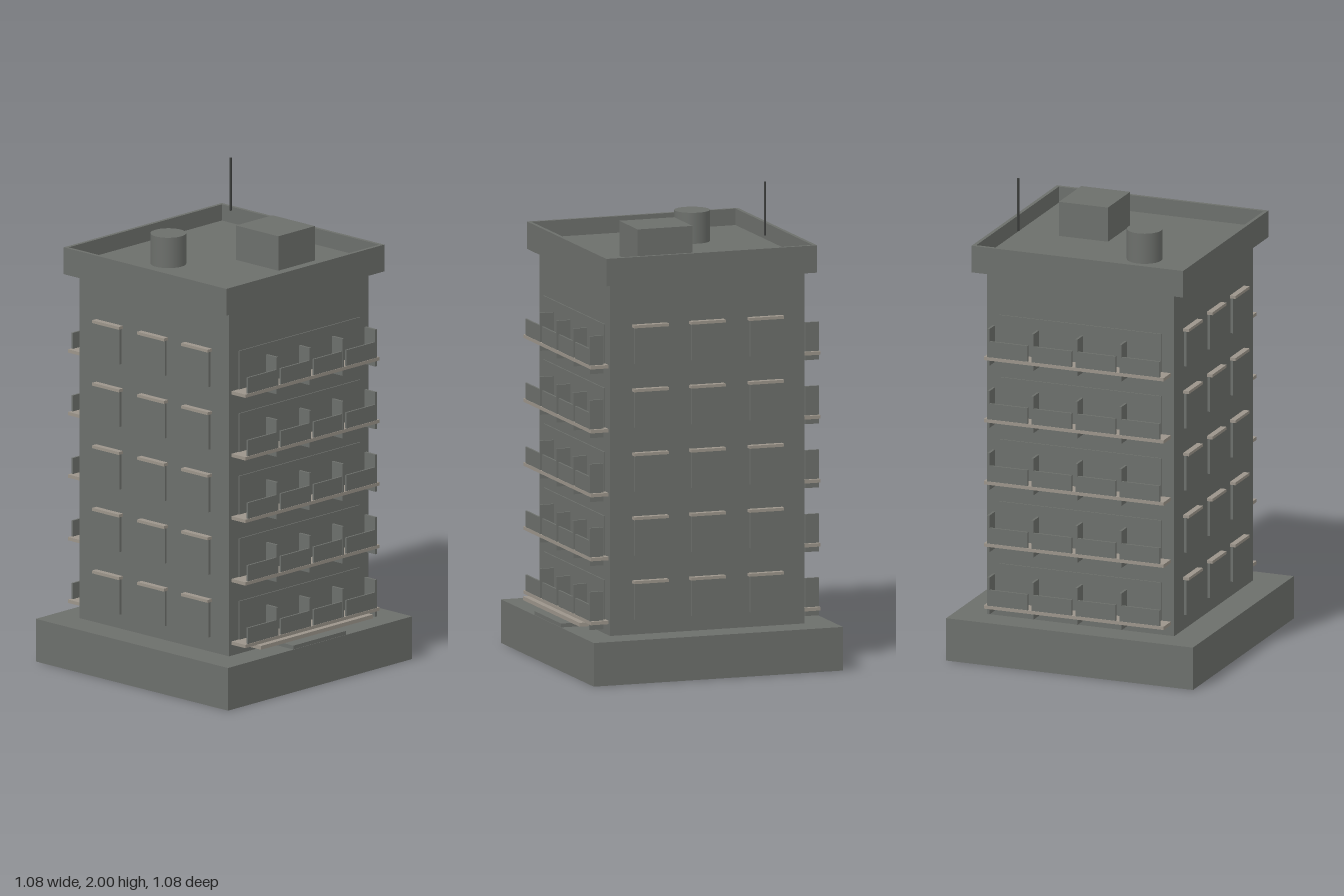
import * as THREE from 'three';

export function createModel() {
  const model = new THREE.Group();
  model.name = 'apartmentBlock';

  const concrete = new THREE.MeshStandardMaterial({ color: 0x6c6f6b });
  concrete.name = 'concrete grey';
  const stone = new THREE.MeshStandardMaterial({ color: 0x9b948a });
  stone.name = 'pale stone';
  const metal = new THREE.MeshStandardMaterial({ color: 0x3c3e3c });
  metal.name = 'dark metal';

  // Box given by its min and max on each axis
  function box(name, mat, [x0, x1], [y0, y1], [z0, z1], parent = model) {
    const mesh = new THREE.Mesh(new THREE.BoxGeometry(x1 - x0, y1 - y0, z1 - z0), mat);
    mesh.position.set((x0 + x1) / 2, (y0 + y1) / 2, (z0 + z1) / 2);
    mesh.name = name;
    parent.add(mesh);
    return mesh;
  }

  function cylinder(name, mat, r, x, y0, y1, z, sides) {
    const mesh = new THREE.Mesh(new THREE.CylinderGeometry(r, r, y1 - y0, sides), mat);
    mesh.position.set(x, (y0 + y1) / 2, z);
    mesh.name = name;
    model.add(mesh);
  }

  // Plinth and tower
  box('plinth', concrete, [-0.542, 0.542], [0, 0.18], [-0.54, 0.54]);
  box('tower', concrete, [-0.411, 0.411], [0.18, 1.64], [-0.421, 0.421]);

  // Roof slab with a parapet around it
  const rx = 0.465, rz = 0.457, t = 0.015, roofY = 1.68, topY = 1.748;
  box('roofSlab', concrete, [-rx, rx], [1.635, roofY], [-rz, rz]);
  for (const s of [-1, 1]) {
    const xs = [s * rx, s * (rx - t)].sort((a, b) => a - b);
    const zs = [s * rz, s * (rz - t)].sort((a, b) => a - b);
    box('parapetSide', concrete, xs, [roofY, topY], [-rz, rz]);
    box('parapetEnd', concrete, [-rx + t, rx - t], [roofY, topY], zs);
  }

  // Rooftop equipment
  box('liftHouse', concrete, [0.058, 0.273], [roofY, 1.825], [0.012, 0.25]);
  cylinder('waterTank', concrete, 0.073, -0.17, roofY, 1.808, -0.15, 32);
  cylinder('antenna', metal, 0.005, 0.332, 1.777, 2, -0.28, 8);

  // Entrance step and canopy
  box('entranceStep', concrete, [-0.155, 0.155], [0.18, 0.196], [0.42, 0.538]);
  box('entranceCanopy', stone, [-0.33, 0.33], [0.211, 0.227], [0.42, 0.523]);

  const floors = 5, storey = 0.264;

  // One storey of balconies, facing +z
  function balconyRow(y) {
    const row = new THREE.Group();
    row.name = 'balconyRow';
    box('balconySlab', stone, [-0.396, 0.394], [y - 0.008, y + 0.006], [0.42, 0.498], row);
    box('glazingBand', concrete, [-0.355, 0.355], [y + 0.006, y + 0.168], [0.42, 0.426], row);
    for (let i = 0; i < 4; i++) {
      const x = -0.378 + i * 0.1935;
      box('balconyRailing', concrete, [x, x + 0.167], [y + 0.006, y + 0.073], [0.488, 0.496], row);
      box('balconyDivider', concrete, [x + 0.167, x + 0.177], [y - 0.03, y + 0.126], [0.438, 0.497], row);
    }
    return row;
  }

  // One window with its lintel, facing +x
  function sideWindow(y, z) {
    const win = new THREE.Group();
    win.name = 'sideWindow';
    box('windowPanel', concrete, [0.41, 0.422], [y + 0.008, y + 0.16], [z - 0.067, z + 0.067], win);
    box('windowLintel', stone, [0.41, 0.436], [y + 0.158, y + 0.17], [z - 0.075, z + 0.075], win);
    return win;
  }

  for (let f = 0; f < floors; f++) {
    const y = 0.234 + f * storey;
    model.add(balconyRow(y));
    // Back row: same x positions, every part mirrored in z
    const back = balconyRow(y);
    back.children.forEach((m) => { m.position.z *= -1; });
    model.add(back);
    for (const z of [-0.25, 0.003, 0.25]) {
      model.add(sideWindow(y, z));
      const right = sideWindow(y, z);
      right.children.forEach((m) => { m.position.x *= -1; });
      model.add(right);
    }
  }

  return model;
}
